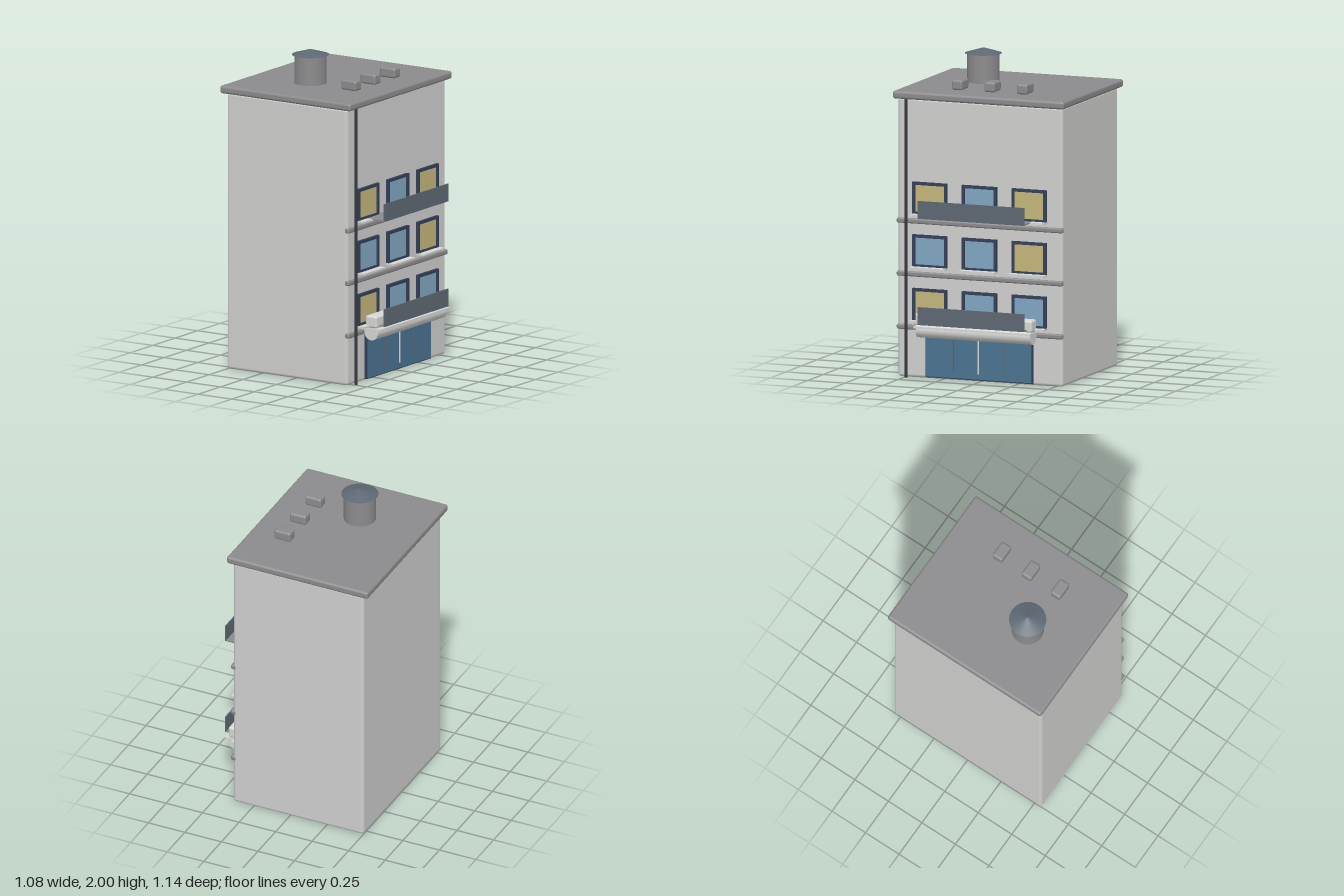
import * as THREE from 'three';
import { RoundedBoxGeometry } from 'three/addons/geometries/RoundedBoxGeometry.js';

const mat = (name, color) => {
  const m = new THREE.MeshStandardMaterial({ color });
  m.name = name;
  return m;
};

export function createModel() {
  const wall = mat('wall', 0xcfcfce);
  const stone = mat('stone', 0x8b8b8d);
  const trim = mat('lightTrim', 0xd6d6d4);
  const frameMat = mat('windowFrame', 0x343f58);
  const blue = mat('blueGlass', 0x80a6c2);
  const yellow = mat('litGlass', 0xc4b67a);
  const shopMat = mat('shopGlass', 0x4a7391);
  const slate = mat('slate', 0x5d6873);
  const dark = mat('darkMetal', 0x34383e);

  const model = new THREE.Group();
  model.name = 'building';

  const add = (name, geometry, material, x = 0, y = 0, z = 0) => {
    const mesh = new THREE.Mesh(geometry, material);
    mesh.name = name;
    mesh.position.set(x, y, z);
    model.add(mesh);
    return mesh;
  };
  // Boxes given by their [min, max] extents; a radius rounds the edges
  const box = (name, material, [x0, x1], [y0, y1], [z0, z1], radius = 0) => {
    const size = [x1 - x0, y1 - y0, z1 - z0];
    const geometry = radius
      ? new RoundedBoxGeometry(...size, 3, radius)
      : new THREE.BoxGeometry(...size);
    return add(name, geometry, material, (x0 + x1) / 2, (y0 + y1) / 2, (z0 + z1) / 2);
  };

  // Main block and roof slab
  box('walls', wall, [-0.503, 0.388], [0, 1.745], [-0.55, 0.55], 0.02);
  box('roofSlab', stone, [-0.543, 0.424], [1.738, 1.787], [-0.572, 0.572], 0.016);

  // Water tank with a conical cap
  add('waterTank', new THREE.CylinderGeometry(0.1, 0.1, 0.182, 32), stone, -0.122, 1.874, 0.19);
  add('tankCap', new THREE.ConeGeometry(0.115, 0.035, 32), slate, -0.122, 1.9825, 0.19);

  // Roof vents
  for (const z of [-0.22, -0.003, 0.213]) {
    box('roofVent', stone, [0.139, 0.251], [1.786, 1.85], [z - 0.036, z + 0.036], 0.014);
  }

  // Floor bands across the facade
  for (const y of [0.315, 0.647, 0.978]) {
    box('floorBand', stone, [0.37, 0.404], [y - 0.016, y + 0.016], [-0.553, 0.553], 0.01);
  }

  // Windows: hollow frame, glass and sill
  const outline = new THREE.Shape([
    [-0.115, -0.102], [0.115, -0.102], [0.115, 0.102], [-0.115, 0.102],
  ].map((p) => new THREE.Vector2(...p)));
  outline.holes.push(new THREE.Path([
    [-0.097, -0.084], [-0.097, 0.084], [0.097, 0.084], [0.097, -0.084],
  ].map((p) => new THREE.Vector2(...p))));
  const frameGeometry = new THREE.ExtrudeGeometry(outline, { depth: 0.024, bevelEnabled: false });
  frameGeometry.rotateY(Math.PI / 2);

  const rows = [
    { y: 0.458, glass: [yellow, blue, blue] },
    { y: 0.793, glass: [blue, blue, yellow] },
    { y: 1.122, glass: [yellow, blue, yellow] },
  ];
  for (const { y, glass } of rows) {
    [0.331, 0, -0.331].forEach((z, i) => {
      add('windowFrame', frameGeometry, frameMat, 0.382, y, z);
      box('windowGlass', glass[i], [0.387, 0.395], [y - 0.086, y + 0.086], [z - 0.099, z + 0.099]);
      box('windowSill', trim, [0.38, 0.449], [y - 0.107, y - 0.096], [z - 0.118, z + 0.118]);
    });
  }

  // Balconies: thin floor and solid front panel
  for (const y of [0.355, 1.018]) {
    box('balconyFloor', stone, [0.38, 0.536], [y, y + 0.008], [-0.355, 0.355]);
    box('balconyPanel', slate, [0.529, 0.537], [y, y + 0.111], [-0.355, 0.355]);
  }

  // Air conditioner on the upper balcony
  box('airConditioner', trim, [0.41, 0.481], [1.026, 1.085], [-0.215, -0.125], 0.012);

  // Awning: case, flat top board and rolled canopy
  box('awningCase', trim, [0.415, 0.499], [0.345, 0.421], [-0.39, 0.39], 0.014);
  box('awningBoard', trim, [0.385, 0.524], [0.331, 0.341], [-0.39, 0.39]);
  const roll = add('awningRoll', new THREE.CylinderGeometry(0.05, 0.05, 0.766, 32), trim, 0.455, 0.316, 0);
  roll.rotation.x = Math.PI / 2;

  // Shopfront with three dividers
  box('shopFrame', frameMat, [0.38, 0.405], [0.01, 0.3], [-0.357, 0.357]);
  box('shopGlass', shopMat, [0.385, 0.411], [0.017, 0.3], [-0.35, 0.35]);
  for (const z of [-0.169, 0, 0.169]) {
    box('shopDivider', z ? slate : trim, [0.408, 0.416], [0.05, 0.29], [z - 0.004, z + 0.004]);
  }

  // Drainpipe
  add('drainpipe', new THREE.CylinderGeometry(0.008, 0.008, 1.74, 12), dark, 0.411, 0.87, 0.485);

  return model;
}
